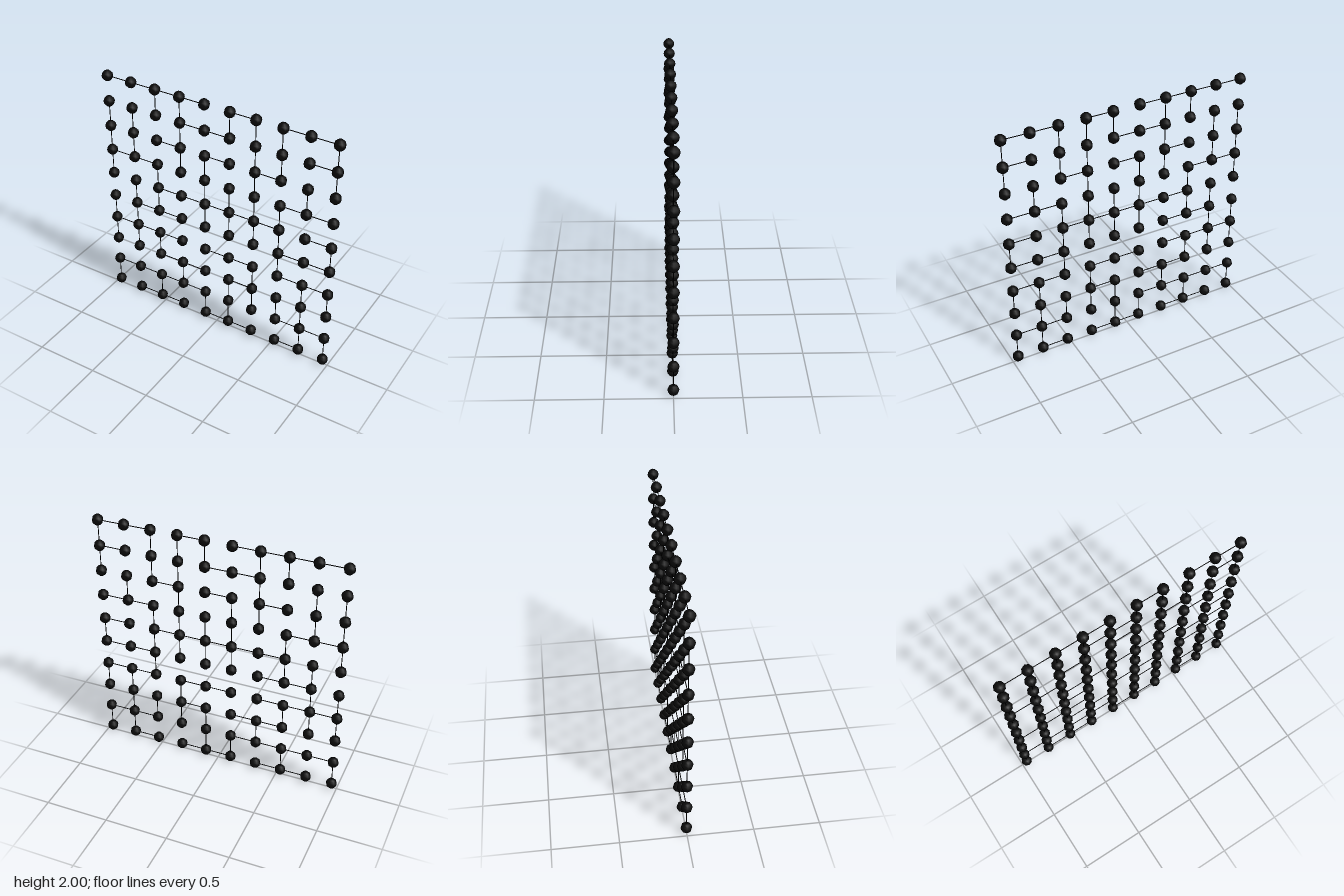
import * as THREE from 'three';

const N = 10;            // nodes per side
const R = 0.0435;        // node radius
const ROD = 0.0032;      // rod radius
const STEP = (2 - 2 * R) / (N - 1);

// Rod runs as [first, last] node index: rows listed top to bottom, columns left to right
const rowRuns = [
  [[0, 4], [5, 6], [7, 9]],
  [[3, 5], [8, 9]],
  [[2, 3], [4, 5], [6, 7]],
  [[0, 2], [7, 9]],
  [[2, 7], [8, 9]],
  [[1, 3], [7, 9]],
  [[0, 3], [4, 6], [7, 9]],
  [[2, 4], [5, 6]],
  [[0, 4], [7, 9]],
  [[1, 3], [4, 6], [7, 8]],
];
const columnRuns = [
  [[1, 4], [5, 7], [8, 9]],
  [[1, 3], [4, 7]],
  [[0, 1], [3, 5], [6, 7], [8, 9]],
  [[0, 3], [7, 8]],
  [[2, 5], [8, 9]],
  [[0, 1], [3, 5], [7, 9]],
  [[0, 5], [6, 8]],
  [[0, 2], [3, 6], [7, 8]],
  [[2, 3], [6, 9]],
  [[0, 2], [4, 5], [6, 7], [8, 9]],
];

// Position of a node by column and row
const nodeAt = (col, row) =>
  new THREE.Vector3(-1 + R + col * STEP, 2 - R - row * STEP, 0);

export function createModel() {
  const model = new THREE.Group();
  model.name = 'mazeLattice';
  const black = new THREE.MeshStandardMaterial({ color: 0x0a0a0a });

  // Nodes: a full square grid of small faceted balls
  const nodes = new THREE.Group();
  nodes.name = 'nodes';
  const ball = new THREE.SphereGeometry(R, 8, 6);
  for (let row = 0; row < N; row++) {
    for (let col = 0; col < N; col++) {
      const node = new THREE.Mesh(ball, black);
      node.name = 'node';
      node.position.copy(nodeAt(col, row));
      nodes.add(node);
    }
  }

  // Rods: thin links between neighbouring nodes
  const rods = new THREE.Group();
  rods.name = 'rods';
  const link = new THREE.CylinderGeometry(ROD, ROD, STEP, 6, 1, true);
  const addRod = (a, b, horizontal) => {
    const rod = new THREE.Mesh(link, black);
    rod.name = horizontal ? 'horizontalRod' : 'verticalRod';
    rod.position.addVectors(a, b).multiplyScalar(0.5);
    if (horizontal) rod.rotation.z = Math.PI / 2;
    rods.add(rod);
  };
  rowRuns.forEach((runs, row) => runs.forEach(([first, last]) => {
    for (let c = first; c < last; c++) addRod(nodeAt(c, row), nodeAt(c + 1, row), true);
  }));
  columnRuns.forEach((runs, col) => runs.forEach(([first, last]) => {
    for (let r = first; r < last; r++) addRod(nodeAt(col, r), nodeAt(col, r + 1), false);
  }));

  model.add(nodes, rods);
  return model;
}
